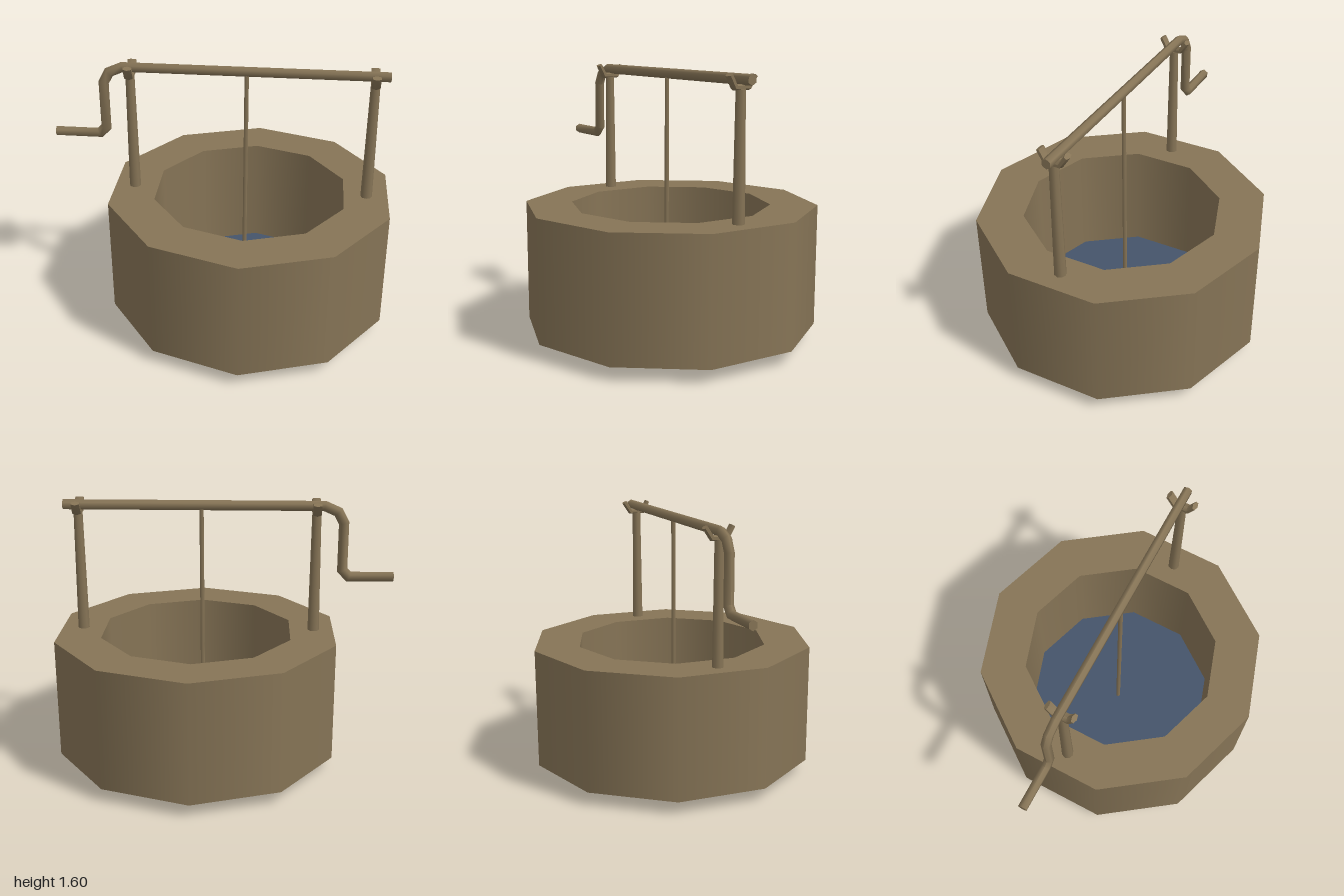
import * as THREE from 'three';
import { toCreasedNormals } from 'three/addons/utils/BufferGeometryUtils.js';

// Six-sided bar swept along a flat path in the xy plane, mitred at the bends
function sweepBar(path, inPlane, depth) {
  const sides = 6, pts = path.map(([x, y]) => new THREE.Vector2(x, y));
  const pos = [], index = [], last = pts.length - 1;
  pts.forEach((p, i) => {
    const d0 = pts[Math.max(i, 1)].clone().sub(pts[Math.max(i, 1) - 1]).normalize();
    const k = Math.min(i, last - 1);
    const d1 = pts[k + 1].clone().sub(pts[k]).normalize();
    const t = d0.clone().add(d1).normalize();
    const r = inPlane / t.dot(d0);
    for (let j = 0; j < sides; j++) {
      const a = (j / sides) * Math.PI * 2;
      pos.push(p.x - t.y * r * Math.cos(a), p.y + t.x * r * Math.cos(a), depth * Math.sin(a));
    }
  });
  const start = pos.length / 3;
  pos.push(pts[0].x, pts[0].y, 0, pts[last].x, pts[last].y, 0);
  for (let j = 0; j < sides; j++) {
    const n = (j + 1) % sides;
    for (let i = 0; i < last; i++) {
      const a = i * sides, b = a + sides;
      index.push(a + j, a + n, b + j, a + n, b + n, b + j);
    }
    index.push(start, n, j, start + 1, last * sides + j, last * sides + n);
  }
  const g = new THREE.BufferGeometry();
  g.setAttribute('position', new THREE.Float32BufferAttribute(pos, 3));
  g.setIndex(index);
  return toCreasedNormals(g, 1.15);
}

export function createModel() {
  const group = new THREE.Group();
  const brown = new THREE.MeshStandardMaterial({ color: 0x867456, side: THREE.DoubleSide });
  const water = new THREE.MeshStandardMaterial({ color: 0x45546a, side: THREE.DoubleSide });
  const add = (name, geometry, material, x = 0, y = 0, z = 0) => {
    const mesh = new THREE.Mesh(geometry, material);
    mesh.name = name;
    mesh.position.set(x, y, z);
    group.add(mesh);
    return mesh;
  };

  // Ten-sided hollow wall, open underneath
  const cx = 0.172, outer = 0.868, inner = 0.591, bottom = 0.08, top = 0.805;
  const wall = (r) => new THREE.CylinderGeometry(r, r, top - bottom, 10, 1, true);
  add('outerWall', wall(outer), brown, cx, (top + bottom) / 2);
  add('innerWall', wall(inner), brown, cx, (top + bottom) / 2);
  add('wallTop', new THREE.RingGeometry(inner, outer, 10, 1, Math.PI / 2).rotateX(-Math.PI / 2), brown, cx, top);

  // Water disc, slightly wider than the shaft
  add('water', new THREE.CircleGeometry(0.655, 10, Math.PI / 2).rotateX(-Math.PI / 2), water, cx, 0.125);

  // Tapered posts, each with a forked rest for the axle
  const fork = [[-0.09, 1.595], [-0.055, 1.53], [0.03, 1.53], [0.07, 1.59]];
  for (const [side, x] of [['right', -0.535], ['left', 0.87]]) {
    add(side + 'Post', new THREE.CylinderGeometry(0.027, 0.039, 1.12, 8), brown, x, 0.96, 0.014);
    add(side + 'Fork', sweepBar(fork, 0.016, 0.029).rotateY(Math.PI / 2), brown, x);
  }

  // Axle bent into a crank handle
  add('axleAndCrank', sweepBar([
    [-1, 1.145], [-0.735, 1.145], [-0.695, 1.185], [-0.695, 1.47],
    [-0.66, 1.535], [-0.58, 1.57], [0.955, 1.57],
  ], 0.03, 0.028), brown, 0, 0, 0.004);

  // Rope hanging through the water
  add('rope', new THREE.CylinderGeometry(0.014, 0.014, 1.56, 6), brown, 0.14, 0.78, 0.005);
  return group;
}
